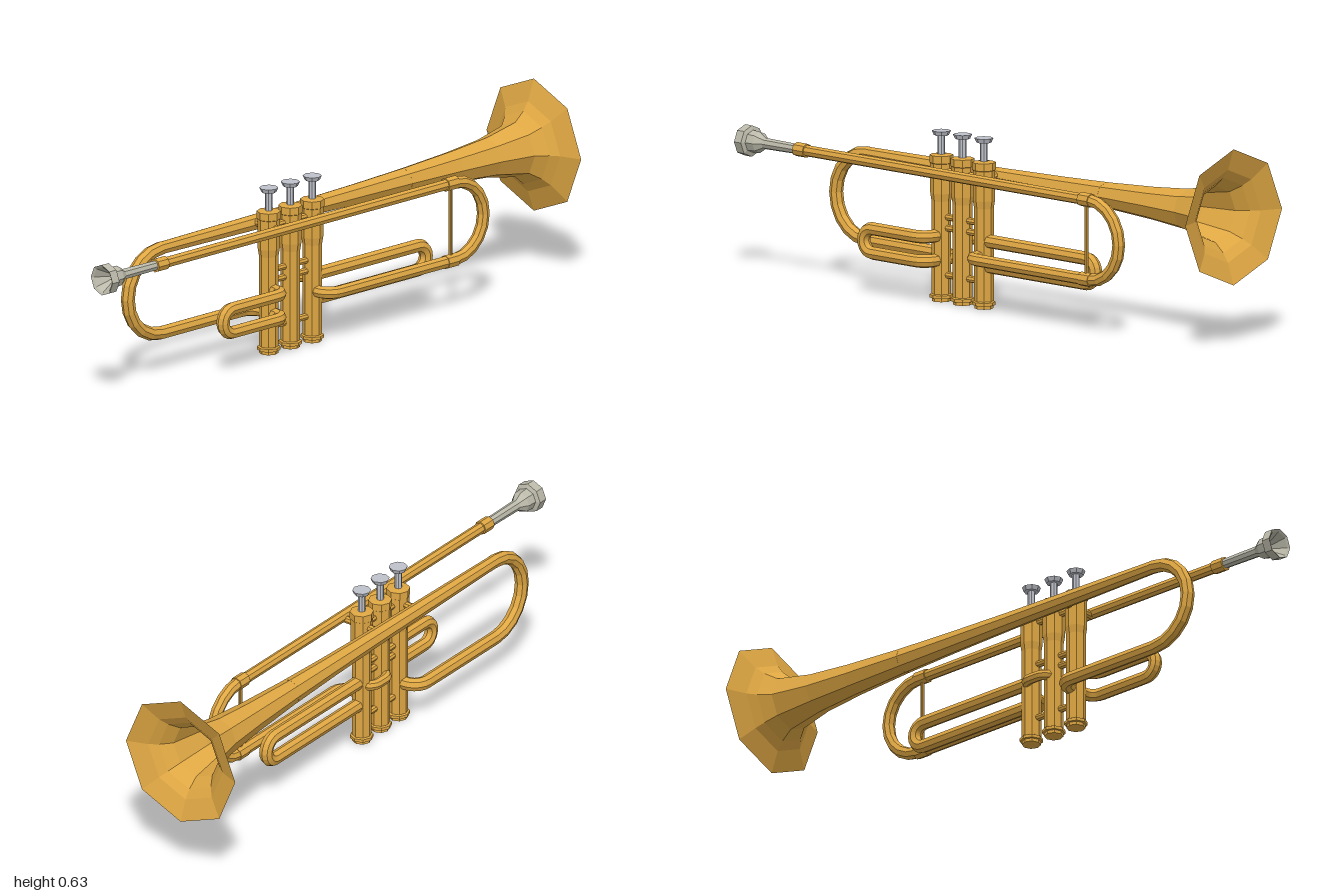
import * as THREE from 'three';

const flat = (name, color) => {
  const m = new THREE.MeshStandardMaterial({ color, flatShading: true, side: THREE.DoubleSide });
  m.name = name;
  return m;
};

// Curve through a list of points, with averaged tangents at each point
class PointPath extends THREE.Curve {
  constructor(points) { super(); this.points = points; }
  getPoint(t, target = new THREE.Vector3()) {
    return target.copy(this.points[Math.round(t * (this.points.length - 1))]);
  }
  getPointAt(t, target) { return this.getPoint(t, target); }
  getTangentAt(t, target = new THREE.Vector3()) {
    const p = this.points, n = p.length - 1, i = Math.round(t * n);
    return target.copy(p[Math.min(n, i + 1)]).sub(p[Math.max(0, i - 1)]).normalize();
  }
}

// Straight runs joined by circular right-angle corners
function roundedPath(corners, radius) {
  const v = corners.map(c => new THREE.Vector3(...c));
  const out = [v[0]];
  for (let i = 1; i < v.length - 1; i++) {
    const a = v[i - 1].clone().sub(v[i]).normalize();
    const b = v[i + 1].clone().sub(v[i]).normalize();
    const r = corners[i][3] ?? radius;
    for (let k = 0; k <= 5; k++) {
      const t = k / 5 * Math.PI / 2;
      const p = v[i].clone().addScaledVector(a, r * (1 - Math.sin(t))).addScaledVector(b, r * (1 - Math.cos(t)));
      if (p.distanceTo(out[out.length - 1]) > 1e-3) out.push(p);
    }
  }
  const end = v[v.length - 1];
  if (end.distanceTo(out[out.length - 1]) > 1e-3) out.push(end);
  return new PointPath(out);
}

export function createModel() {
  const root = new THREE.Group();
  root.name = 'trumpet';
  const brass = flat('brass', 0xdfa743);
  const silver = flat('mouthpieceSilver', 0xbcbaaa);
  const steel = flat('pistonSteel', 0xbfc2ca);

  const add = (name, geo, mat, x = 0, y = 0, z = 0, parent = root) => {
    const m = new THREE.Mesh(geo, mat);
    m.name = name;
    m.position.set(x, y, z);
    parent.add(m);
    return m;
  };
  const pipe = (name, corners, r, bend) => {
    const path = roundedPath(corners, bend);
    return add(name, new THREE.TubeGeometry(path, path.points.length - 1, r, 8, false), brass);
  };
  // Turned shape along x from [x, radius] pairs
  const turnedX = (profile) => new THREE.LatheGeometry(
    profile.map(([x, r]) => new THREE.Vector2(r, x)), 8).rotateZ(-Math.PI / 2);
  // Capped rod along one axis
  const rod = (name, axis, len, r, mat, x, y, z, parent) => {
    const g = new THREE.CylinderGeometry(r, r, len, 8);
    if (axis === 'x') g.rotateZ(Math.PI / 2);
    if (axis === 'z') g.rotateX(Math.PI / 2);
    return add(name, g, mat, x, y, z, parent);
  };

  const valveX = [-0.211, -0.118, -0.024], valveZ = 0.075, pipeZ = 0.15;

  // Flared bell and its throat
  add('bell', turnedX([[-0.61, 0.021], [-0.3, 0.025], [0, 0.029], [0.25, 0.035], [0.45, 0.042], [0.65, 0.053],
    [0.8, 0.066], [0.92, 0.09], [0.955, 0.12], [0.975, 0.148], [1, 0.217]]), brass, 0, 0.41, 0);
  add('bellThroat', turnedX([[0.44, 0.042], [0.44, 0]]), brass, 0, 0.41, 0);

  // Rear bow from the bell to the first valve
  pipe('bellBow', [[-0.6, 0.41, 0], [-0.747, 0.41, 0], [-0.747, 0.132, 0], [-0.211, 0.132, 0, 0.045],
    [-0.211, 0.132, valveZ]], 0.022, 0.139);

  // Lead pipe and the front tuning slide
  pipe('leadPipe', [[-0.77, 0.422, pipeZ], [0.5, 0.422, pipeZ]], 0.018, 0);
  pipe('tuningSlide', [[0.48, 0.422, pipeZ], [0.642, 0.422, pipeZ], [0.642, 0.168, pipeZ],
    [-0.024, 0.168, pipeZ, 0.045], [-0.024, 0.168, valveZ]], 0.02, 0.127);
  for (const [x, y] of [[-0.75, 0.422], [0.5, 0.422], [0.5, 0.168]])
    rod('ferrule', 'x', 0.045, 0.0225, brass, x, y, pipeZ);
  rod('slideBrace', 'y', 0.25, 0.006, brass, 0.5, 0.295, pipeZ);

  // Valve slides
  pipe('firstValveSlide', [[-0.211, 0.21, valveZ], [-0.211, 0.21, pipeZ, 0.04], [-0.478, 0.21, pipeZ],
    [-0.478, 0.132, pipeZ], [-0.211, 0.132, pipeZ, 0.04], [-0.211, 0.132, valveZ]], 0.021, 0.039);
  pipe('thirdValveSlide', [[-0.024, 0.216, valveZ], [0.465, 0.216, valveZ], [0.465, 0.136, valveZ],
    [-0.024, 0.136, valveZ]], 0.022, 0.04);
  pipe('secondValveSlide', [[-0.118, 0.205, valveZ], [-0.118, 0.205, 0.035], [-0.024, 0.205, 0.035],
    [-0.024, 0.205, valveZ]], 0.017, 0.03);

  // Three valves with pistons
  for (const x of valveX) {
    const valve = new THREE.Group();
    valve.name = 'valve';
    valve.position.set(x, 0, valveZ);
    root.add(valve);
    const profile = [[0, 0], [0.03, 0], [0.03, 0.01], [0.037, 0.011], [0.037, 0.021], [0.031, 0.024],
      [0.031, 0.32], [0.035, 0.345], [0.035, 0.44], [0.038, 0.442], [0.038, 0.466], [0, 0.47]];
    add('casing', new THREE.LatheGeometry(profile.map(p => new THREE.Vector2(...p)), 8), brass, 0, 0, 0, valve);
    rod('pistonStem', 'y', 0.07, 0.012, steel, 0, 0.5, 0, valve);
    add('fingerButton', new THREE.CylinderGeometry(0.03, 0.024, 0.014, 8), steel, 0, 0.536, 0, valve);
  }

  // Short links between neighbouring valves
  for (const x of [-0.1645, -0.071])
    for (const y of [0.085, 0.235, 0.27, 0.415])
      rod('valveLink', 'x', 0.06, 0.011, brass, x, y, valveZ);

  // Braces from the outer valves to the bell and lead pipe
  for (const x of [valveX[0], valveX[2]])
    rod('valveBrace', 'z', 0.15, 0.012, brass, x, 0.415, valveZ);

  // Mouthpiece with shank, steps and hollow cup
  add('mouthpiece', turnedX([[-0.93, 0], [-0.97, 0.025], [-0.995, 0.042], [-1, 0.05], [-0.97, 0.05],
    [-0.965, 0.036], [-0.935, 0.034], [-0.91, 0.018], [-0.76, 0.016]]), silver, 0, 0.422, pipeZ);
  return root;
}
